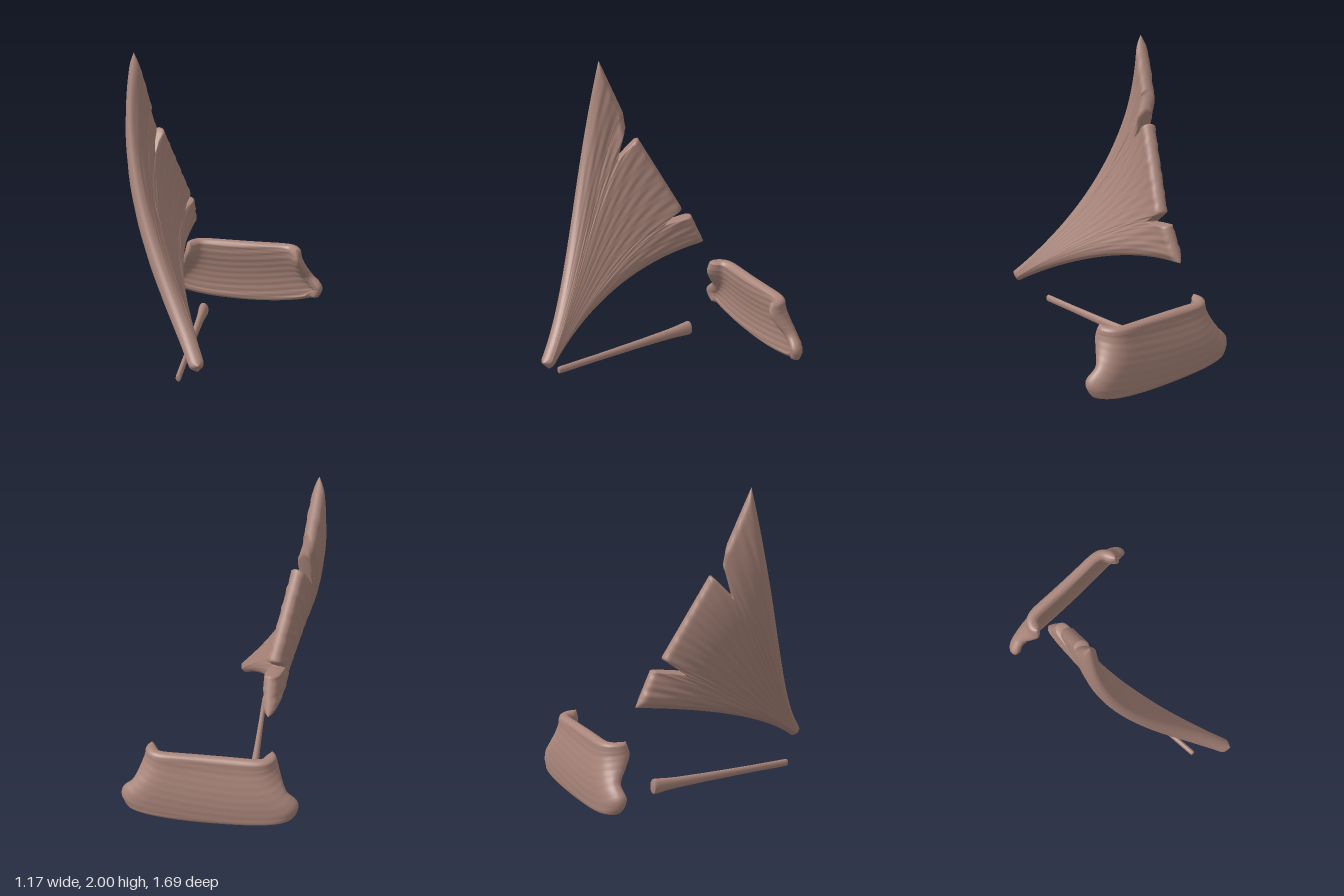
import * as THREE from 'three';
import { mergeVertices } from 'three/addons/utils/BufferGeometryUtils.js';

const V = (x, y, z) => new THREE.Vector3(x, y, z);
const lerp = THREE.MathUtils.lerp;

// piecewise linear lookup: rows are [key, value, value...]
function lookup(rows, key) {
  let i = 0;
  while (i < rows.length - 2 && key > rows[i + 1][0]) i++;
  const a = rows[i], b = rows[i + 1];
  const f = THREE.MathUtils.clamp((key - a[0]) / (b[0] - a[0]), 0, 1);
  return a.slice(1).map((v, j) => lerp(v, b[j + 1], f));
}

// 0 at a border, rising as a quarter round to 1 at distance w
function roundEdge(u, w) {
  const e = Math.min(1, Math.min(u, 1 - u) / w);
  return Math.sqrt(Math.max(0, 1 - (1 - e) ** 2));
}

// closed, round-edged slab around a centre surface
function slab(center, half, nu, nv) {
  const pos = [], idx = [], e = 1e-3;
  const spread = (f) => 0.5 - 0.5 * Math.cos(Math.PI * f);
  for (const side of [1, -1]) {
    const base = pos.length / 3;
    for (let j = 0; j <= nv; j++) {
      for (let i = 0; i <= nu; i++) {
        const u = spread(i / nu), v = spread(j / nv);
        const du = center(Math.min(1, u + e), v).sub(center(Math.max(0, u - e), v));
        const dv = center(u, Math.min(1, v + e)).sub(center(u, Math.max(0, v - e)));
        const p = center(u, v).addScaledVector(du.cross(dv).normalize(), side * half(u, v, side));
        pos.push(p.x, p.y, p.z);
        if (i < nu && j < nv) {
          const a = base + j * (nu + 1) + i, b = a + 1, c = a + nu + 1, d = c + 1;
          if (side > 0) idx.push(a, b, d, a, d, c);
          else idx.push(a, d, b, a, c, d);
        }
      }
    }
  }
  const g = new THREE.BufferGeometry();
  g.setAttribute('position', new THREE.Float32BufferAttribute(pos, 3));
  g.setIndex(idx);
  const merged = mergeVertices(g, 1e-5);
  merged.computeVertexNormals();
  return merged;
}

// fan: S-curved fibres from a narrow tip to a rim with two notches
function fanGeometry() {
  // across the fan -> fibre position, fibre length
  const notches = [[0, 0, 1], [0.17, 0.19, 1], [0.24, 0.235, 0.88], [0.31, 0.27, 1],
    [0.66, 0.7, 1], [0.72, 0.735, 0.88], [0.79, 0.775, 1], [0.85, 0.835, 1], [1, 1, 1]];
  // fibre position -> rim point
  const rim = [[0, -0.31, 0.66, -0.56], [0.19, -0.30, 0.885, -0.45], [0.27, -0.31, 0.95, -0.38],
    [0.7, -0.42, 1.47, -0.10], [0.775, -0.45, 1.53, -0.025], [0.835, -0.48, 1.65, -0.02], [1, -0.525, 2, 0.125]];
  // control points of the lower and the front border
  const lower = [V(0.015, 0.18, 0.80), V(-0.17, 0.425, 0.45), V(-0.37, 0.59, 0)];
  const front = [V(0.03, 0.24, 0.845), V(-0.22, 0.6, 0.52), V(-0.64, 1.18, 0.275)];
  const center = (t, s) => {
    const [k, len] = lookup(notches, t);
    const q = s - (1 - len) * s ** 6;
    const [a, b, c] = lower.map((p, i) => p.clone().lerp(front[i], k));
    return new THREE.CubicBezierCurve3(a, b, c, V(...lookup(rim, k))).getPoint(q);
  };
  const half = (t, s, side) => {
    const grain = 0.002 * Math.sin(t * 95 + 5 * Math.sin(s * 4)) + 0.0015 * Math.sin(t * 171 + s * 9 + side);
    const thick = 0.045 + 0.018 * Math.sin(Math.PI * s);
    return (thick + grain * s) * roundEdge(t, lerp(0.5, 0.05, Math.sqrt(s))) * roundEdge(s, 0.025);
  };
  return slab(center, half, 160, 60);
}

// band: upright sheet, wider at the bottom, with ends curling forward
function bandGeometry() {
  // bottom to top: half width, forward curl, base z
  const sections = new THREE.CatmullRomCurve3([V(0.50, 0.06, -0.80), V(0.54, 0.085, -0.805),
    V(0.47, 0.075, -0.80), V(0.425, 0.115, -0.785), V(0.395, 0.135, -0.765), V(0.38, 0.11, -0.755)]);
  const center = (u, v) => {
    const w = u * 2 - 1, m = Math.abs(w);
    const { x: width, y: curl, z } = sections.getPoint(v);
    const x = 0.03 + width * Math.sin(w * 1.4) / Math.sin(1.4);
    const y = lerp(0.005 + 0.075 * m * m, 0.468, v);
    return V(x, y, z - 0.02 * m * m + (curl + 0.02) * m ** 6);
  };
  const half = (u, v, side) => {
    const grain = 0.0015 * Math.sin(v * 60 + 3 * Math.sin(u * 5)) + 0.001 * Math.sin(v * 113 + u * 8);
    return (0.038 + grain * (side > 0 ? 1 : 0.4)) * roundEdge(u, 0.05) * roundEdge(v, 0.07);
  };
  return slab(center, half, 80, 60);
}

// rod: slender, flattened, flaring to the rear
function rodGeometry() {
  const profile = [[0, 0], [0.018, 0], [0.024, 0.006], [0.025, 0.03], [0.025, 0.3], [0.03, 0.65],
    [0.037, 0.88], [0.043, 0.96], [0.051, 1.03], [0.05, 1.046], [0.044, 1.052], [0, 1.054]];
  const g = new THREE.LatheGeometry(profile.map(([r, y]) => new THREE.Vector2(r, y)), 24);
  g.scale(0.68, 1, 1);
  return g;
}

export function createModel() {
  const group = new THREE.Group();
  const material = new THREE.MeshStandardMaterial({ color: 0xa9857a });
  const add = (name, geometry) => {
    const mesh = new THREE.Mesh(geometry, material);
    mesh.name = name;
    group.add(mesh);
    return mesh;
  };
  add('fanSheet', fanGeometry());
  add('curvedBand', bandGeometry());
  const rod = add('slenderRod', rodGeometry());
  const start = V(-0.14, 0.054, 0.663), end = V(-0.195, 0.08, -0.39);
  rod.position.copy(start);
  rod.quaternion.setFromUnitVectors(V(0, 1, 0), end.sub(start).normalize());
  return group;
}
